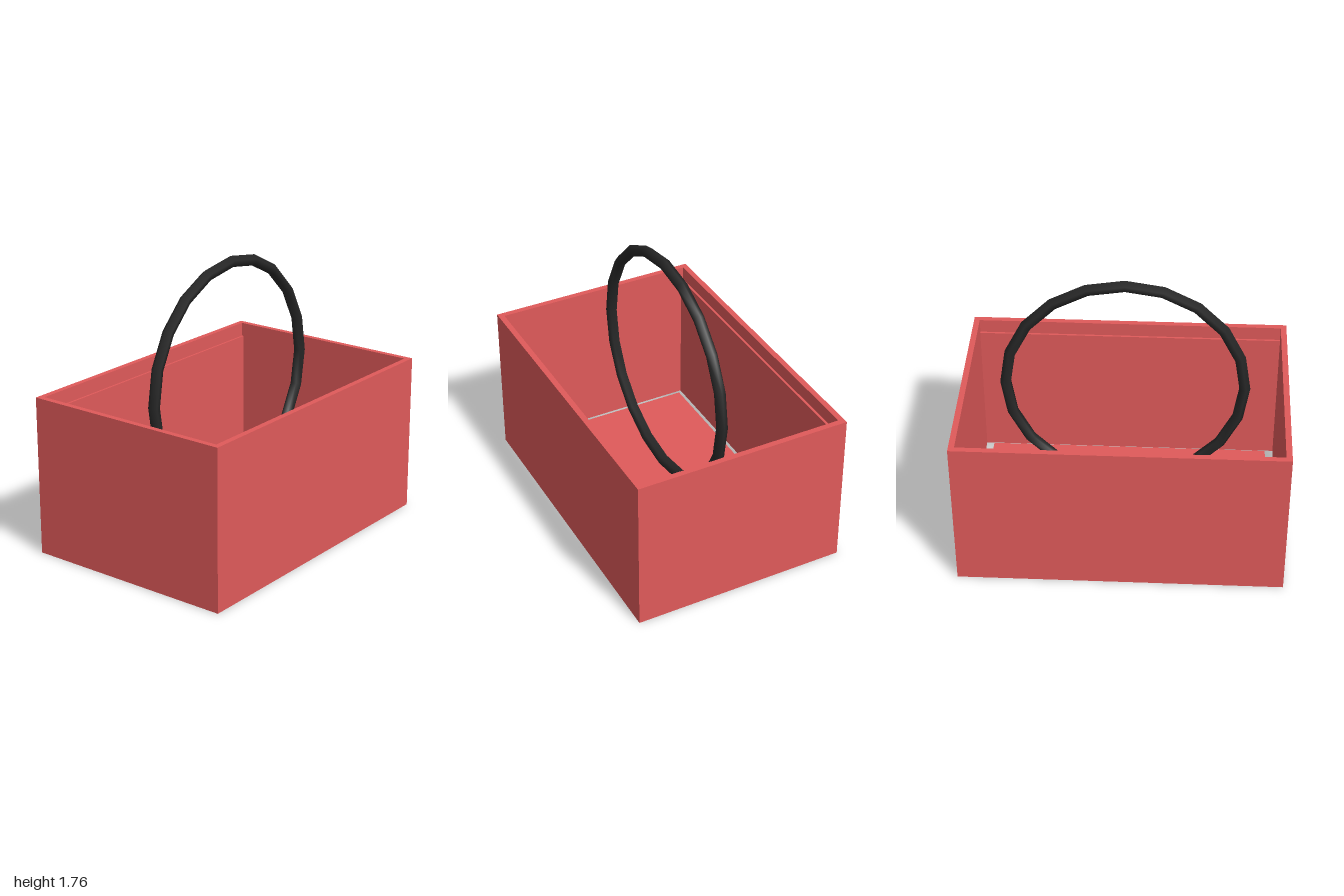
import * as THREE from 'three';

export function createModel() {
  const model = new THREE.Group();
  const red = new THREE.MeshStandardMaterial({ color: 0xe05a5a });
  red.name = 'basketRed';
  const black = new THREE.MeshStandardMaterial({ color: 0x272727 });
  black.name = 'handleBlack';

  const add = (name, geometry, material, y = 0, z = 0) => {
    const mesh = new THREE.Mesh(geometry, material);
    mesh.name = name;
    mesh.position.set(0, y, z);
    model.add(mesh);
  };
  const rectangle = (path, x, z) =>
    path.moveTo(-x, -z).lineTo(x, -z).lineTo(x, z).lineTo(-x, z).closePath();

  // Outer walls: a rectangular frame, open above and below
  const frame = new THREE.Shape();
  rectangle(frame, 1, 0.68);
  const opening = new THREE.Path();
  rectangle(opening, 0.964, 0.644);
  frame.holes.push(opening);
  const walls = new THREE.ExtrudeGeometry(frame, { depth: 1, bevelEnabled: false });
  walls.rotateX(-Math.PI / 2);
  add('outerWalls', walls, red);

  // Lining boards inside the front and back walls, ending below the rim
  for (const [name, side] of [['frontLining', 1], ['backLining', -1]]) {
    add(name, new THREE.BoxGeometry(1.928, 0.91, 0.014), red, 0.455, side * 0.637);
  }

  // Floor: a thin board with a gap all round
  add('floor', new THREE.BoxGeometry(1.82, 0.03, 1.18), red, 0.015);

  // Handle: a full hoop centred on the rim, five-sided in section
  add('handle', new THREE.TorusGeometry(0.727, 0.036, 5, 20), black, 1);

  return model;
}
